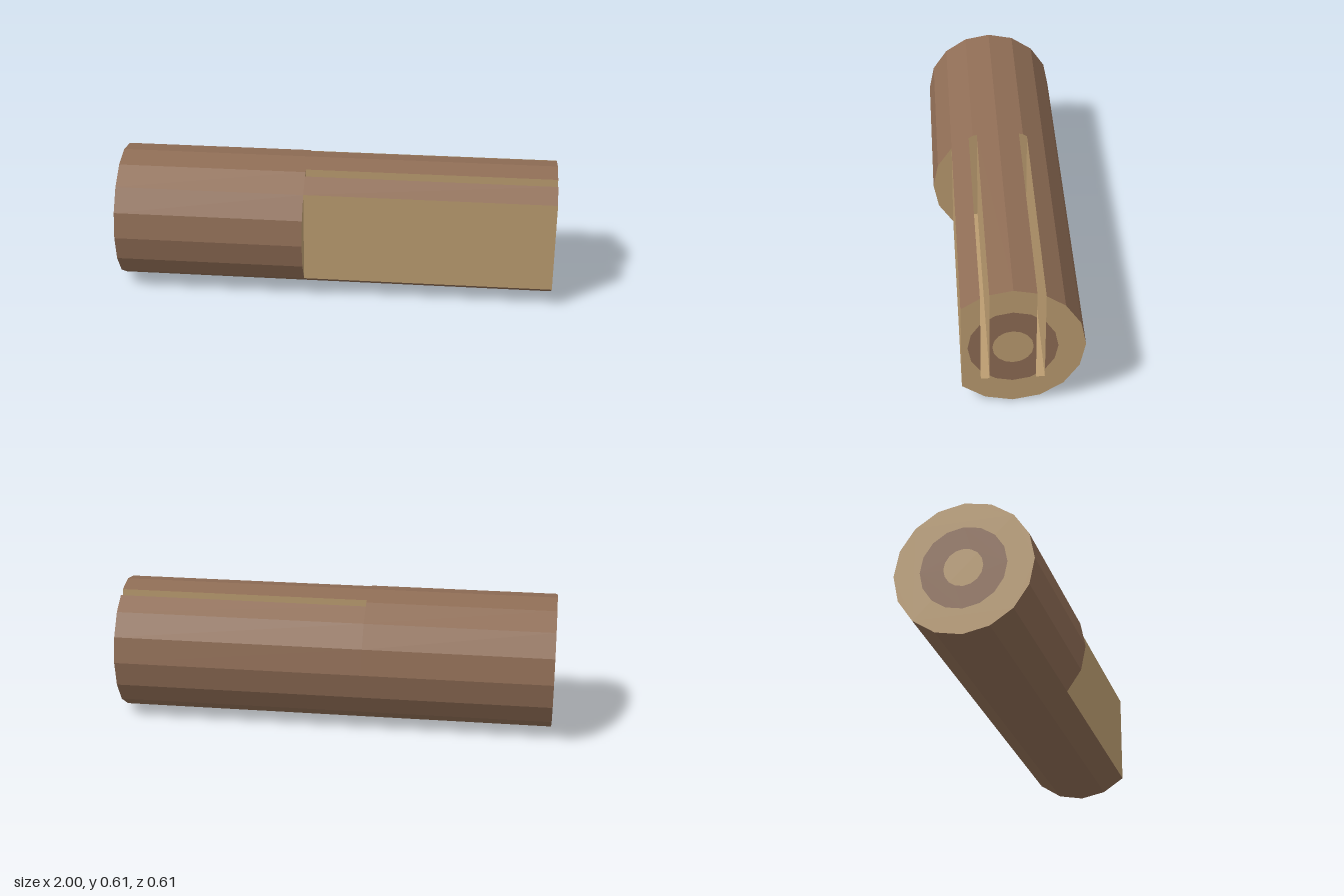
import * as THREE from 'three';

const R = 0.306, STEP = -0.14, END = 1;
const SLOT_IN = 0.098, SLOT_OUT = 0.136, SLOT_BOTTOM = 0.13;

// Cross-sections are points (u, y) with u = -z, anticlockwise as seen from +x.
const ring16 = (r) => Array.from({ length: 16 }, (_, k) => {
  const a = Math.PI / 2 + k * Math.PI / 8;
  return new THREE.Vector2(r * Math.cos(a), R + r * Math.sin(a));
});

// Keep the part of a convex polygon where sign * (p[axis] - limit) >= 0
function clip(points, axis, limit, sign) {
  const out = [];
  points.forEach((p, i) => {
    const q = points[(i + 1) % points.length];
    const a = sign * (p[axis] - limit), b = sign * (q[axis] - limit);
    if (a >= 0) out.push(p);
    if (a * b < 0) out.push(p.clone().lerp(q, a / (a - b)));
  });
  return out;
}
const band = (points, lo, hi) => clip(clip(points, 'x', lo, 1), 'x', hi, -1);

// Flat face across the log at x, facing +x (dir 1) or -x (dir -1)
function crossFace(points, x, dir, hole) {
  const shape = new THREE.Shape(points);
  if (hole) shape.holes.push(new THREE.Path(hole));
  return new THREE.ShapeGeometry(shape).rotateY(dir * Math.PI / 2).translate(x, 0, 0);
}

// Flat-shaded walls along the log, one quad for each edge that passes the test
function walls(points, x0, x1, test) {
  const pos = [];
  points.forEach((p, i) => {
    const q = points[(i + 1) % points.length];
    if (!test(p, q)) return;
    const a = [x1, p.y, -p.x], b = [x0, p.y, -p.x], c = [x0, q.y, -q.x], d = [x1, q.y, -q.x];
    pos.push(...a, ...b, ...c, ...a, ...c, ...d);
  });
  const g = new THREE.BufferGeometry();
  g.setAttribute('position', new THREE.Float32BufferAttribute(pos, 3));
  g.computeVertexNormals();
  return g;
}

export function createModel() {
  const group = new THREE.Group();
  const bark = new THREE.MeshStandardMaterial({ color: 0x8f6d55 });
  bark.name = 'bark brown';
  const wood = new THREE.MeshStandardMaterial({ color: 0xbb9c70 });
  wood.name = 'cut wood';
  const add = (name, geometry, material) => {
    const mesh = new THREE.Mesh(geometry, material);
    mesh.name = name;
    group.add(mesh);
  };

  // Full round section, and the section with a flat side and two slots
  const full = ring16(R);
  const edgePoint = (i, j, u) =>
    full[i].clone().lerp(full[j], (u - full[i].x) / (full[j].x - full[i].x));
  const v = (x, y) => new THREE.Vector2(x, y);
  const cut = [
    full[0],
    edgePoint(0, 1, -SLOT_IN), v(-SLOT_IN, SLOT_BOTTOM), v(-SLOT_OUT, SLOT_BOTTOM), edgePoint(1, 2, -SLOT_OUT),
    full[2], ...full.slice(6, 15),
    edgePoint(14, 15, SLOT_OUT), v(SLOT_OUT, SLOT_BOTTOM), v(SLOT_IN, SLOT_BOTTOM), edgePoint(15, 0, SLOT_IN),
  ];

  // Edges near the outer radius carry bark, the others are sawn wood
  const isBark = (p, q) =>
    Math.hypot((p.x + q.x) / 2, (p.y + q.y) / 2 - R) > R * 0.97;
  add('barkWholeHalf', walls(full, -END, STEP, () => true), bark);
  add('barkCutHalf', walls(cut, STEP, END, isBark), bark);
  add('flatAndSlotWalls', walls(cut, STEP, END, (p, q) => !isBark(p, q)), wood);

  // Sawn ends
  add('wholeEnd', crossFace(full, -END, -1), wood);
  add('cutEnd', crossFace(cut, END, 1), wood);

  // Faces where the flat and the slots stop
  add('flatStep', crossFace(clip(full, 'x', full[2].x, -1), STEP, 1), wood);
  for (const [lo, hi] of [[-SLOT_OUT, -SLOT_IN], [SLOT_IN, SLOT_OUT]]) {
    add('slotEnd', crossFace(clip(band(full, lo, hi), 'y', SLOT_BOTTOM, 1), STEP, 1), wood);
  }

  // Growth rings; the one on the cut end is broken by the slots
  const outer = ring16(0.19), core = ring16(0.0865), lift = 0.0015;
  add('wholeEndRing', crossFace(outer, -END - lift, -1, core), bark);
  add('cutEndRingMiddle', crossFace(band(outer, -SLOT_IN, SLOT_IN), END + lift, 1, core), bark);
  add('cutEndRingFront', crossFace(band(outer, -1, -SLOT_OUT), END + lift, 1), bark);
  add('cutEndRingBack', crossFace(band(outer, SLOT_OUT, 1), END + lift, 1), bark);

  return group;
}
